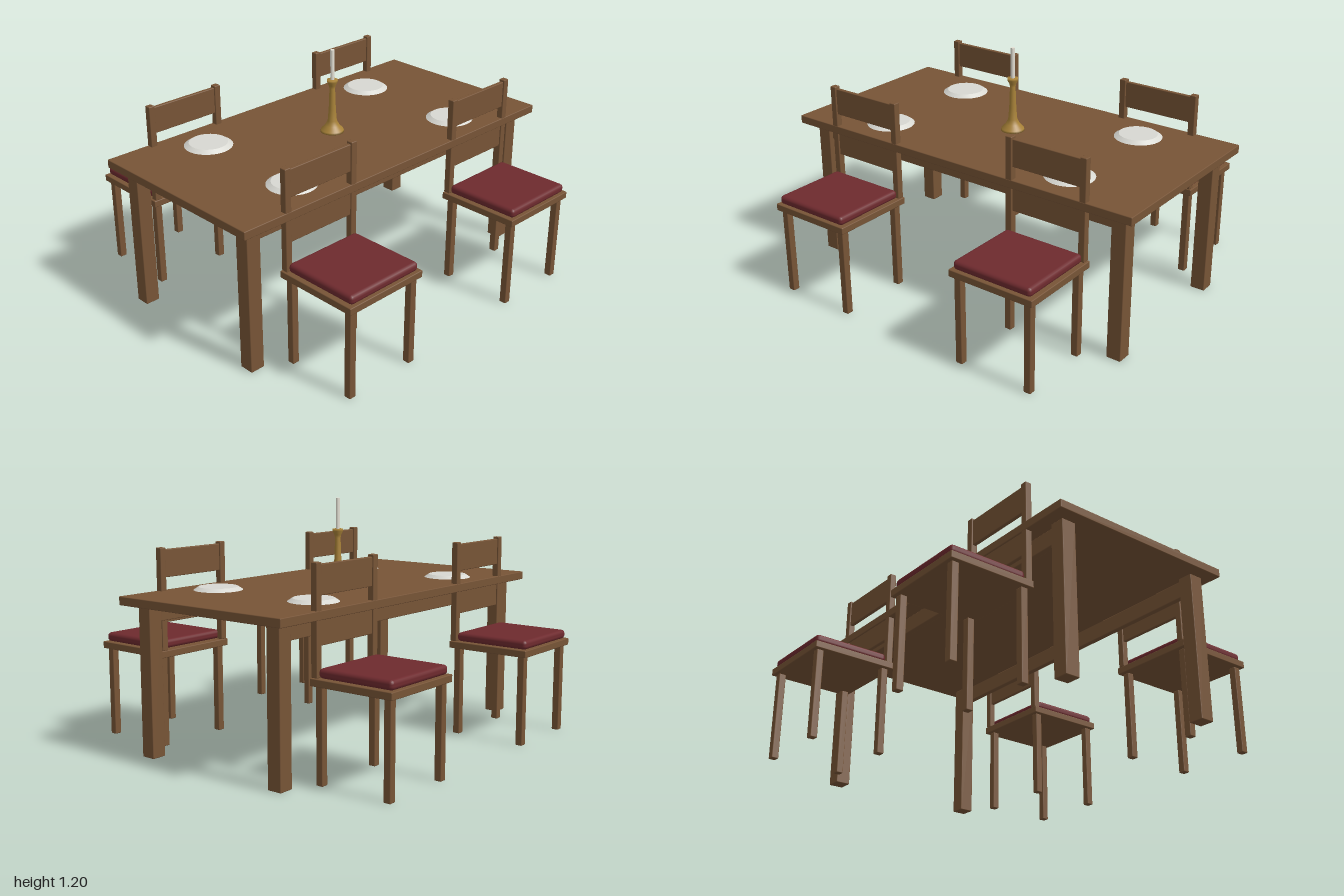
import * as THREE from 'three';
import { RoundedBoxGeometry } from 'three/addons/geometries/RoundedBoxGeometry.js';

const mat = (color, side = THREE.FrontSide) => new THREE.MeshStandardMaterial({ color, side });
const wood = mat(0x775436);
const fabric = mat(0x6e2a2e);
const china = mat(0xd8d8d2);
const brass = mat(0xa88238, THREE.DoubleSide);
const wax = mat(0xe4e0d4);

function add(parent, name, geometry, material, x, y, z) {
  const mesh = new THREE.Mesh(geometry, material);
  mesh.name = name;
  mesh.position.set(x, y, z);
  parent.add(mesh);
  return mesh;
}

// Box spanning y0..y1, slightly eased at the edges
function plank(parent, name, w, y0, y1, d, x, z, material = wood, radius = 0.004) {
  const geometry = new RoundedBoxGeometry(w, y1 - y0, d, 2, radius);
  return add(parent, name, geometry, material, x, (y0 + y1) / 2, z);
}

function createTable() {
  const table = new THREE.Group();
  table.name = 'table';
  plank(table, 'tableTop', 2, 0.73, 0.772, 1, 0, 0);
  for (const z of [-0.4, 0.4]) {
    for (const x of [-0.9, 0.9]) plank(table, 'tableLeg', 0.075, 0, 0.73, 0.075, x, z);
    plank(table, 'apron', 1.73, 0.647, 0.73, 0.03, 0, z);
  }
  return table;
}

// Chair in its final depth position, with the backrest at the table edge
function createChair() {
  const chair = new THREE.Group();
  chair.name = 'chair';
  plank(chair, 'seat', 0.452, 0.445, 0.48, 0.436, 0, 0.682);
  plank(chair, 'cushion', 0.42, 0.48, 0.525, 0.392, 0, 0.694, fabric, 0.018);
  for (const x of [-0.19, 0.19]) {
    for (const z of [0.502, 0.865]) plank(chair, 'chairLeg', 0.036, 0, 0.445, 0.036, x, z);
  }
  for (const x of [-0.2, 0.2]) plank(chair, 'backPost', 0.034, 0.48, 0.98, 0.034, x, 0.482);
  plank(chair, 'upperSlat', 0.37, 0.835, 0.97, 0.02, 0, 0.482);
  plank(chair, 'lowerSlat', 0.37, 0.617, 0.755, 0.02, 0, 0.482);
  return chair;
}

function createCandlestick() {
  const group = new THREE.Group();
  group.name = 'candlestick';
  const profile = [
    [0, 0.772], [0.06, 0.772], [0.057, 0.782], [0.036, 0.805], [0.023, 0.83],
    [0.018, 0.89], [0.014, 1.0], [0.017, 1.015], [0.027, 1.035], [0.027, 1.046], [0, 1.046],
  ].map(([r, y]) => new THREE.Vector2(r, y));
  add(group, 'holder', new THREE.LatheGeometry(profile, 32), brass, 0, 0, 0);
  add(group, 'candle', new THREE.CylinderGeometry(0.01, 0.01, 0.16, 20), wax, 0, 1.12, 0);
  return group;
}

export function createModel() {
  const model = new THREE.Group();
  model.name = 'diningSet';
  model.add(createTable(), createCandlestick());

  // One chair and one plate at each of the four places
  for (const x of [-0.55, 0.55]) {
    for (const side of [1, -1]) {
      const chair = createChair();
      chair.position.x = x;
      if (side < 0) chair.rotation.y = Math.PI;
      model.add(chair);
      add(model, 'plate', new THREE.CylinderGeometry(0.096, 0.12, 0.016, 40), china, x, 0.78, side * 0.3);
    }
  }
  return model;
}
